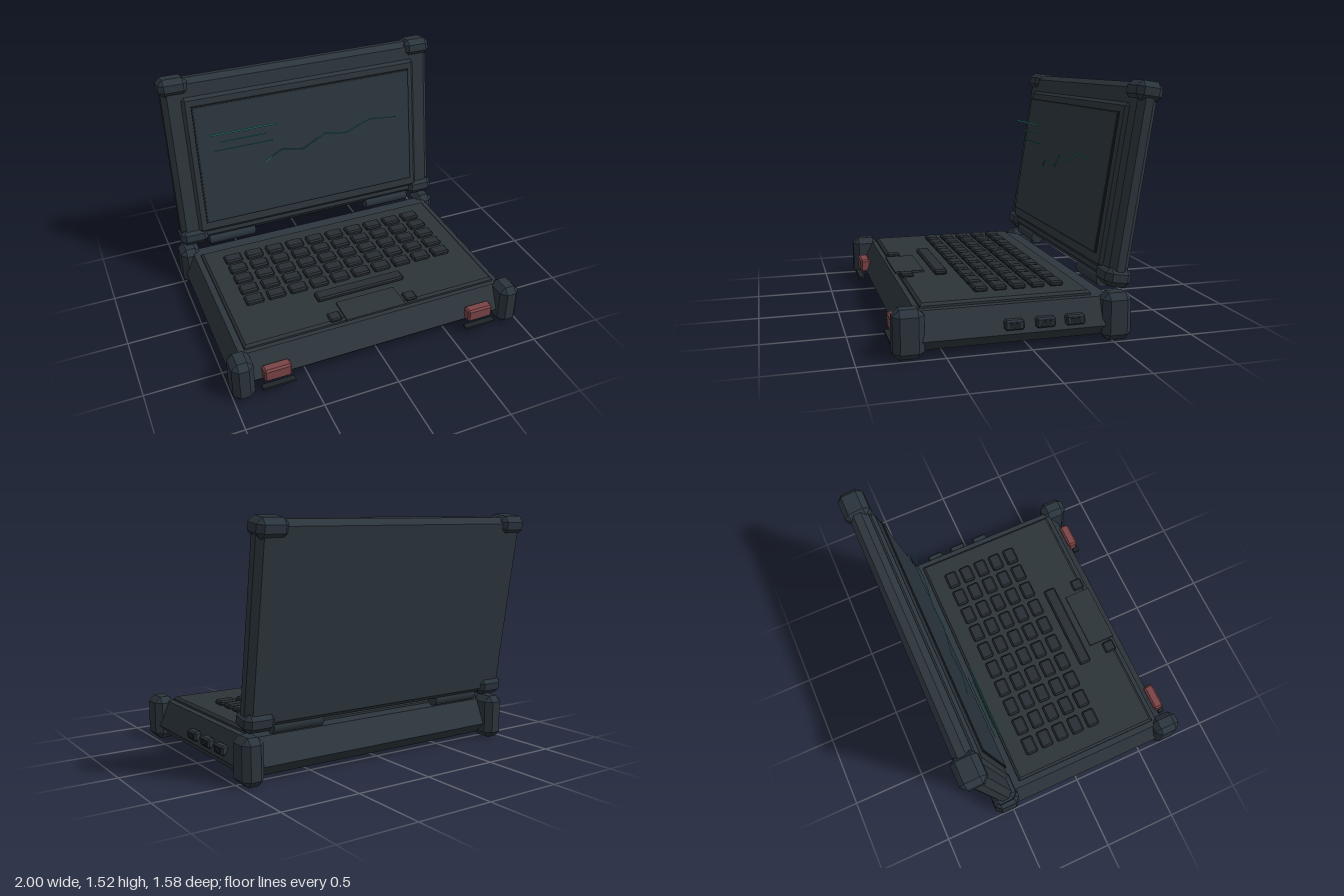
import * as THREE from 'three';
import { ConvexGeometry } from 'three/addons/geometries/ConvexGeometry.js';

const mat = (name, color) => {
  const m = new THREE.MeshStandardMaterial({ color });
  m.name = name;
  return m;
};

// Box with all edges chamfered by c
function chamferBox(w, h, d, c) {
  const pts = [];
  for (const sx of [-1, 1]) for (const sy of [-1, 1]) for (const sz of [-1, 1]) {
    const x = w / 2, y = h / 2, z = d / 2;
    pts.push(new THREE.Vector3(sx * x, sy * (y - c), sz * (z - c)));
    pts.push(new THREE.Vector3(sx * (x - c), sy * y, sz * (z - c)));
    pts.push(new THREE.Vector3(sx * (x - c), sy * (y - c), sz * z));
  }
  return new ConvexGeometry(pts);
}

// Solid through stacked rectangles [y, halfWidth, zBack, zFront]
function stack(layers) {
  const pts = [];
  for (const [y, hx, z0, z1] of layers)
    for (const x of [-hx, hx]) for (const z of [z0, z1]) pts.push(new THREE.Vector3(x, y, z));
  return new ConvexGeometry(pts);
}

export function createModel() {
  const shell = mat('shell slate', 0x2d363d);
  const armour = mat('armour slate', 0x2b353d);
  const deckMat = mat('deck grey', 0x2d3439);
  const keyMat = mat('key grey', 0x282e33);
  const dark = mat('dark trim', 0x1e2428);
  const glass = mat('screen glass', 0x2c363e);
  const red = mat('latch red', 0x7a4447);
  const teal = mat('display teal', 0x35918a);

  const root = new THREE.Group();
  root.name = 'ruggedLaptop';
  const add = (parent, name, geo, material, x = 0, y = 0, z = 0) => {
    const m = new THREE.Mesh(geo, material);
    m.name = name;
    m.position.set(x, y, z);
    parent.add(m);
    return m;
  };

  // Base
  const base = new THREE.Group();
  base.name = 'base';
  root.add(base);
  add(base, 'baseBody', stack([
    [0.03, 0.92, -0.51, 0.675], [0.096, 0.98, -0.57, 0.735], [0.257, 0.915, -0.5, 0.655],
  ]), shell);
  add(base, 'deck', stack([
    [0.25, 0.875, -0.4, 0.625], [0.27, 0.875, -0.4, 0.625], [0.285, 0.86, -0.385, 0.61],
  ]), deckMat);
  for (const s of [-1, 1]) {
    add(base, 'frontCorner', chamferBox(0.14, 0.285, 0.18, 0.038), armour, s * 0.93, 0.1425, 0.705);
    add(base, 'rearCorner', chamferBox(0.14, 0.285, 0.18, 0.038), armour, s * 0.93, 0.1425, -0.53);
    add(base, 'latch', chamferBox(0.18, 0.09, 0.07, 0.012), red, s * 0.71, 0.135, 0.74);
    add(base, 'latchBar', new THREE.BoxGeometry(0.215, 0.015, 0.04), dark, s * 0.71, 0.055, 0.77);
    add(base, 'padButton', chamferBox(0.08, 0.025, 0.08, 0.008), keyMat, s * 0.265, 0.293, 0.59);
    const barrel = add(base, 'hingeBarrel', new THREE.CylinderGeometry(0.045, 0.045, 0.34, 16), armour, s * 0.61, 0.315, -0.52);
    barrel.rotation.z = Math.PI / 2;
  }
  add(base, 'trackpad', new THREE.BoxGeometry(0.41, 0.014, 0.185), deckMat, 0, 0.291, 0.562);

  // Keyboard
  const keyboard = new THREE.Group();
  keyboard.name = 'keyboard';
  base.add(keyboard);
  const keyGeo = chamferBox(0.12, 0.034, 0.085, 0.01);
  for (let r = 0; r < 5; r++)
    for (let c = 0; c < 10; c++)
      add(keyboard, 'key', keyGeo, keyMat, -0.685 + c * 0.1515, 0.299, -0.237 + r * 0.1175);
  add(keyboard, 'spaceBar', chamferBox(0.62, 0.034, 0.085, 0.01), keyMat, 0, 0.303, 0.38);

  // Side ports
  for (const z of [0.102, -0.085, -0.265]) {
    add(base, 'port', chamferBox(0.05, 0.06, 0.116, 0.01), armour, 0.967, 0.15, z);
    add(base, 'portSlot', new THREE.BoxGeometry(0.008, 0.028, 0.066), dark, 0.992, 0.15, z);
  }

  // Tilted lid
  const lid = new THREE.Group();
  lid.name = 'lid';
  lid.position.set(0, 0.3, -0.526);
  lid.rotation.x = -0.152;
  root.add(lid);
  add(lid, 'lidShell', chamferBox(1.945, 1.18, 0.12, 0.035), shell, 0, 0.62, 0);
  add(lid, 'bezel', chamferBox(1.7, 0.99, 0.05, 0.02), shell, 0, 0.59, 0.055);
  add(lid, 'screenBorder', new THREE.BoxGeometry(1.59, 0.852, 0.008), dark, 0, 0.6, 0.094);
  add(lid, 'screen', new THREE.BoxGeometry(1.57, 0.832, 0.008), glass, 0, 0.6, 0.097);
  for (const x of [-0.885, 0.885])
    for (const y of [0.073, 1.163])
      add(lid, 'lidCorner', chamferBox(0.2, 0.118, 0.165, 0.035), armour, x, y, 0);

  // Display readouts on a plane leaning forward
  const display = new THREE.Group();
  display.name = 'display';
  display.position.set(0, 0.85, -0.51);
  display.rotation.x = 0.195;
  root.add(display);
  const line = (name, x0, y0, x1, y1, t) => {
    const m = add(display, name, new THREE.BoxGeometry(Math.hypot(x1 - x0, y1 - y0), t, 0.004),
      teal, (x0 + x1) / 2, (y0 + y1) / 2 - 0.85, 0);
    m.rotation.z = Math.atan2(y1 - y0, x1 - x0);
  };
  line('textBar', -0.725, 1.175, -0.26, 1.175, 0.012);
  line('textBar', -0.65, 1.108, -0.33, 1.108, 0.009);
  line('textBar', -0.69, 1.038, -0.28, 1.038, 0.007);
  line('cursor', -0.52, 0.845, -0.5, 0.845, 0.008);
  const chart = [[-0.33, 0.855], [-0.21, 0.935], [-0.05, 0.9], [0.11, 1.005], [0.27, 0.972], [0.44, 1.055], [0.66, 1.03]];
  for (let i = 1; i < chart.length; i++) line('chartLine', ...chart[i - 1], ...chart[i], 0.008);

  return root;
}
